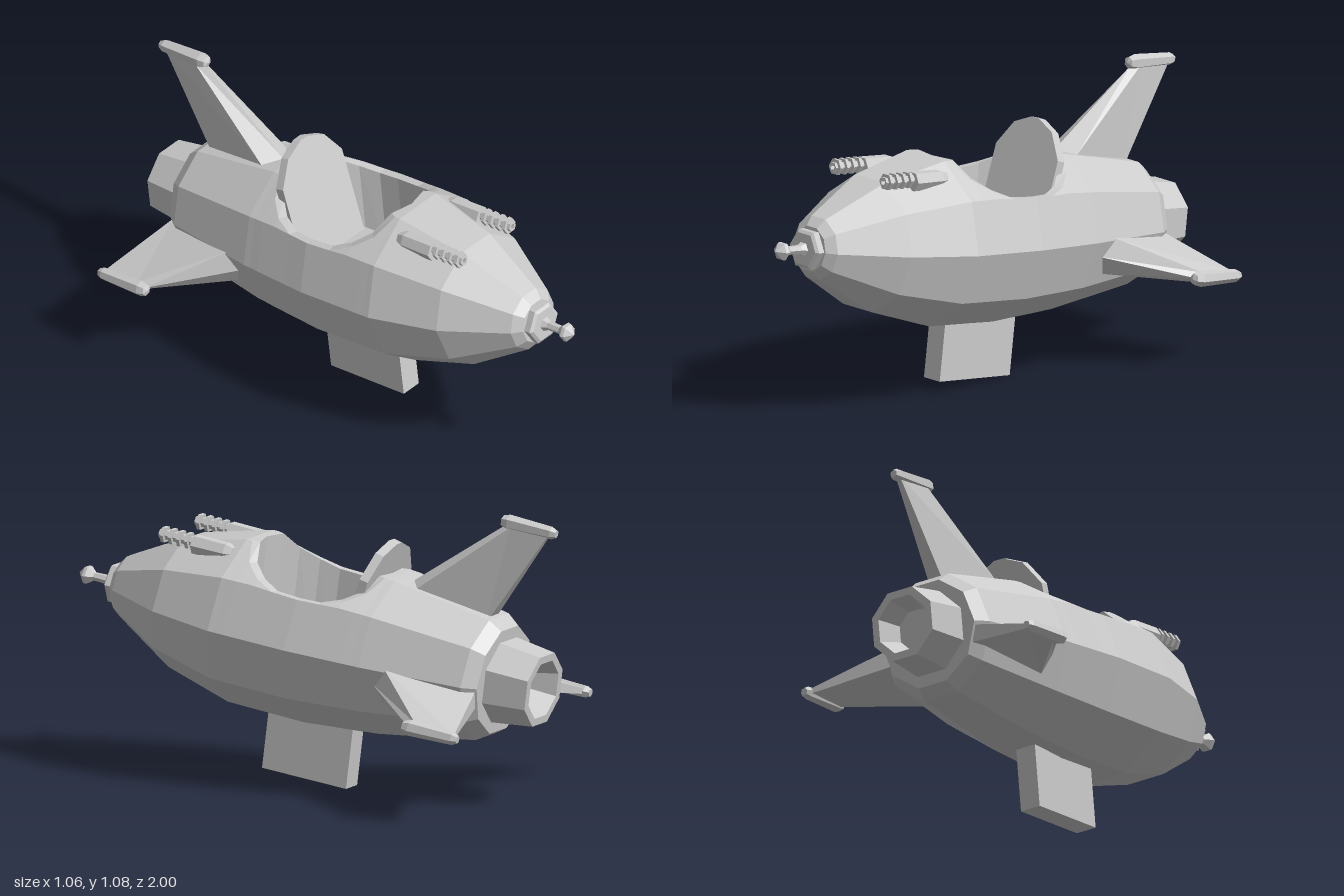
import * as THREE from 'three';

const grey = new THREE.MeshStandardMaterial({ color: 0xcccccc, flatShading: true });
grey.name = 'hullGrey';

function add(parent, name, geometry, x = 0, y = 0, z = 0) {
  const mesh = new THREE.Mesh(geometry, grey);
  mesh.name = name;
  mesh.position.set(x, y, z);
  parent.add(mesh);
  return mesh;
}

// Skin between successive rows of points, leaving out collapsed triangles
function loft(rows) {
  const pos = [];
  const tri = (a, b, c) => {
    const area = b.clone().sub(a).cross(c.clone().sub(a)).length();
    if (area > 1e-7) for (const p of [a, b, c]) pos.push(p.x, p.y, p.z);
  };
  for (let i = 0; i < rows.length - 1; i++) {
    for (let j = 0; j < rows[i].length - 1; j++) {
      const a = rows[i][j], b = rows[i][j + 1], c = rows[i + 1][j], d = rows[i + 1][j + 1];
      tri(a, b, c);
      tri(b, d, c);
    }
  }
  const g = new THREE.BufferGeometry();
  g.setAttribute('position', new THREE.Float32BufferAttribute(pos, 3));
  g.computeVertexNormals();
  return g;
}

// Faceted turned part along z; profile is [z, radius] from back to front
function turned(profile, sides, start = Math.PI / 2) {
  const pts = profile.map(([z, r]) => new THREE.Vector2(r, z));
  return new THREE.LatheGeometry(pts, sides, start).rotateX(Math.PI / 2);
}

// Point on a flat-topped decagon at an angle (degrees) from straight up
function hullPoint(r, deg, z) {
  const fold = ((((deg + 18) % 36) + 36) % 36) - 18;
  const rad = THREE.MathUtils.degToRad;
  const d = r * Math.cos(Math.PI / 10) / Math.cos(rad(fold));
  return new THREE.Vector3(d * Math.sin(rad(deg)), d * Math.cos(rad(deg)), z);
}

// Hull stations: [z, radius, half angle of the cockpit opening]
const STATIONS = [
  [0.83, 0, 0], [0.83, 0.085, 0], [0.8, 0.12, 0], [0.555, 0.255, 0], [0.283, 0.325, 0],
  [0.26, 0.325, 18], [0.22, 0.326, 36], [0.15, 0.327, 48], [0.07, 0.328, 55],
  [-0.04, 0.33, 56], [-0.13, 0.322, 55], [-0.21, 0.316, 48], [-0.27, 0.311, 36],
  [-0.3, 0.308, 18], [-0.31, 0.307, 0], [-0.339, 0.305, 0],
  [-0.735, 0.24, 0], [-0.785, 0.205, 0], [-0.785, 0, 0],
];

function hullGeometry() {
  const angles = [0, 18, 54, 90, 126, 162, 198, 234, 270, 306, 342, 360];
  return loft(STATIONS.map(([z, r, cut]) =>
    angles.map(a => hullPoint(r, THREE.MathUtils.clamp(a, cut, 360 - cut), z))));
}

// Rim, inner wall and floor, following the opening in the hull
function cockpitGeometry() {
  const edge = STATIONS.slice(4, 15);
  const right = edge.map(([z, r, cut]) => hullPoint(r, cut, z));
  const left = edge.slice(1, -1).reverse().map(([z, r, cut]) => hullPoint(r, -cut, z));
  const rim = [...right, ...left, right[0]];
  const ring = (sx, sz, y) => rim.map(p =>
    new THREE.Vector3(p.x * sx, y === undefined ? p.y : y, -0.015 + (p.z + 0.015) * sz));
  return loft([rim, ring(0.88, 0.9), ring(0.84, 0.88, -0.15), ring(0, 0, -0.15)]);
}

// Swept fin standing along y: five-sided section with a sharp leading edge
function finGeometry(root, tip) {
  const section = ({ y0, y1, front, back, w, nose }) => {
    const p = (x, y, z) => new THREE.Vector3(x, y, z);
    return [p(0, y0, front), p(w, y0, front - nose), p(w * 0.45, y1, back),
      p(-w * 0.45, y1, back), p(-w, y0, front - nose), p(0, y0, front)];
  };
  return loft([section(root), section(tip)]);
}

function fin(name, angle, root, tip, podY, podFront, podBack) {
  const g = new THREE.Group();
  g.name = name;
  add(g, 'finBlade', finGeometry(root, tip));
  const pod = [[podBack, 0], [podBack, 0.015], [podBack + 0.02, 0.024],
    [podFront - 0.035, 0.03], [podFront - 0.008, 0.022], [podFront, 0]];
  add(g, 'finTipPod', turned(pod, 6, 0), 0, podY, 0);
  g.rotation.z = angle;
  return g;
}

function gun(x) {
  const g = new THREE.Group();
  g.name = x > 0 ? 'leftGun' : 'rightGun';
  g.position.set(x, 0.262, 0);
  add(g, 'gunHousing', turned([[0.31, 0], [0.31, 0.026], [0.34, 0.036],
    [0.475, 0.038], [0.475, 0]], 6), 0, -0.008, 0);
  add(g, 'gunBarrel', turned([[0.46, 0.019], [0.62, 0.019], [0.62, 0.011],
    [0.6, 0.011], [0.6, 0]], 6));
  for (let i = 0; i < 4; i++) {
    const z = 0.492 + i * 0.034;
    add(g, 'coolingRing', turned([[z, 0.015], [z, 0.032], [z + 0.014, 0.032],
      [z + 0.014, 0.015]], 6));
  }
  return g;
}

export function createModel() {
  const model = new THREE.Group();
  model.name = 'rocketRide';
  // Everything is built around a level hull axis, then pitched nose up
  const craft = new THREE.Group();
  craft.name = 'craft';
  craft.position.y = 0.562;
  craft.rotation.x = -0.127;
  model.add(craft);

  add(craft, 'hull', hullGeometry());
  add(craft, 'cockpit', cockpitGeometry());

  // Nose plate and probe
  add(craft, 'nosePlate', turned([[0.82, 0], [0.82, 0.072], [0.83, 0.079], [0.856, 0.079],
    [0.864, 0.066], [0.864, 0]], 6));
  add(craft, 'noseProbe', turned([[0.85, 0.034], [0.885, 0.018], [0.94, 0.016], [0.965, 0.036],
    [0.978, 0.034], [1.005, 0]], 6));

  // Hollow exhaust nozzle
  add(craft, 'exhaustNozzle', turned([[-0.86, 0], [-0.86, 0.08], [-0.952, 0.112],
    [-0.952, 0.142], [-0.77, 0.165]], 8, Math.PI / 8));

  // Seat and its arched, reclined back
  add(craft, 'seatCushion', new THREE.BoxGeometry(0.35, 0.11, 0.32), 0, -0.095, -0.025);
  const back = new THREE.Shape([[-0.165, -0.1], [0.165, -0.1], [0.165, 0.3], [0.1, 0.395],
    [0.02, 0.43], [-0.02, 0.43], [-0.1, 0.395], [-0.165, 0.3]]
    .map(([x, y]) => new THREE.Vector2(x, y)));
  const seatBack = add(craft, 'seatBack',
    new THREE.ExtrudeGeometry(back, { depth: 0.035, bevelEnabled: false }).translate(0, 0, -0.035),
    0, -0.008, -0.173);
  seatBack.rotation.x = -0.2;

  // Control stick
  const stick = new THREE.Group();
  stick.name = 'controlStick';
  stick.position.set(0, -0.15, 0.18);
  stick.rotation.x = 0.05;
  add(stick, 'stickShaft', new THREE.CylinderGeometry(0.012, 0.012, 0.18, 6), 0, 0.09, 0);
  add(stick, 'stickGrip', new THREE.CylinderGeometry(0.018, 0.022, 0.09, 6), 0, 0.2, 0);
  add(stick, 'stickButton', new THREE.CylinderGeometry(0.01, 0.01, 0.02, 6), 0, 0.255, 0);
  craft.add(stick);

  // Mounting pedestal
  add(craft, 'pedestal', new THREE.BoxGeometry(0.084, 0.278, 0.354), 0, -0.4, -0.034);

  // Tail fin and mirrored side fins
  craft.add(fin('tailFin', 0,
    { y0: 0.275, y1: 0.2, front: -0.36, back: -0.7, w: 0.07, nose: 0.06 },
    { y0: 0.575, y1: 0.58, front: -0.72, back: -0.905, w: 0.02, nose: 0.03 },
    0.587, -0.7, -0.932));
  for (const s of [1, -1]) {
    craft.add(fin(s > 0 ? 'leftFin' : 'rightFin', -s * 1.8,
      { y0: 0.265, y1: 0.19, front: -0.38, back: -0.775, w: 0.075, nose: 0.05 },
      { y0: 0.505, y1: 0.505, front: -0.67, back: -0.865, w: 0.02, nose: 0.03 },
      0.513, -0.65, -0.885));
    craft.add(gun(s * 0.135));
  }
  return model;
}
